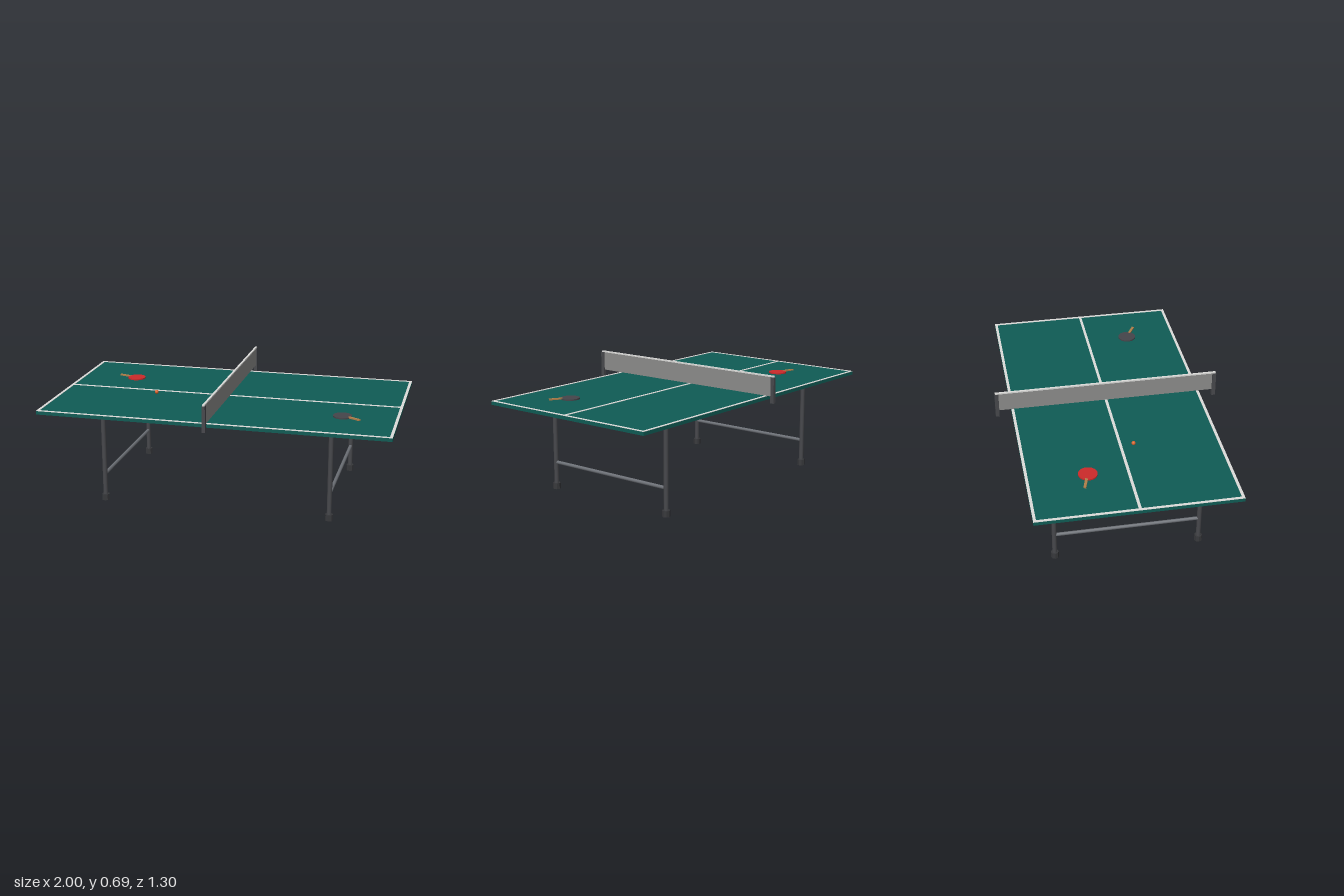
import * as THREE from 'three';

const material = (name, color) => {
  const m = new THREE.MeshStandardMaterial({ color });
  m.name = name;
  return m;
};

export function createModel() {
  const model = new THREE.Group();
  model.name = 'tableTennisTable';

  const green = material('tableGreen', 0x0f5c55);
  const white = material('lineWhite', 0xdcdcda);
  const darkSteel = material('darkSteel', 0x47484c);
  const greySteel = material('greySteel', 0x6c7076);
  const rubber = material('footRubber', 0x37383b);
  const netGrey = material('netGrey', 0x8c8c8a);
  const red = material('paddleRed', 0xcc2a2a);
  const black = material('paddleBlack', 0x45454a);
  const wood = material('handleWood', 0xb07f4a);
  const orange = material('ballOrange', 0xd9652e);

  const add = (parent, name, geometry, mat, x, y, z) => {
    const mesh = new THREE.Mesh(geometry, mat);
    mesh.name = name;
    mesh.position.set(x, y, z);
    parent.add(mesh);
    return mesh;
  };
  const box = (name, mat, w, h, d, x, y, z) =>
    add(model, name, new THREE.BoxGeometry(w, h, d), mat, x, y, z);

  // Table top with painted border and centre lines
  const topY = 0.555, halfZ = 0.555, line = 0.016;
  box('tableTop', green, 2, 0.02, halfZ * 2, 0, topY - 0.01, 0);
  for (const s of [-1, 1]) {
    box('sideLine', white, 2, 0.002, line, 0, topY + 0.001, s * (halfZ - line / 2));
    box('endLine', white, line, 0.002, 2 * (halfZ - line), s * (1 - line / 2), topY + 0.001, 0);
  }
  box('centreLine', white, 2 - 2 * line, 0.002, line, 0, topY + 0.001, 0);

  // Net, top band and end posts
  box('net', netGrey, 0.005, 0.112, 1.26, 0, 0.63, 0);
  box('netBand', white, 0.012, 0.008, 1.29, 0, 0.688, 0);
  for (const s of [-1, 1]) {
    box('netPost', darkSteel, 0.018, 0.148, 0.022, 0, 0.61, s * 0.637);
  }

  // Under-frame: long rail, end rails, legs, feet and cross bars
  box('longRail', darkSteel, 1.29, 0.018, 0.02, 0, 0.517, 0);
  for (const sx of [-1, 1]) {
    const x = sx * 0.655;
    box('endRail', darkSteel, 0.025, 0.022, 0.896, x, 0.516, 0);
    const bar = add(model, 'crossBar', new THREE.CylinderGeometry(0.01, 0.01, 0.82, 10), greySteel, x, 0.158, 0);
    bar.rotation.x = Math.PI / 2;
    for (const sz of [-1, 1]) {
      const z = sz * 0.411;
      add(model, 'leg', new THREE.CylinderGeometry(0.0135, 0.0135, 0.49, 12), darkSteel, x, 0.265, z);
      const foot = new THREE.CylinderGeometry(0.022, 0.023, 0.035, 8).toNonIndexed();
      foot.computeVertexNormals();
      add(model, 'foot', foot, rubber, x, 0.0175, z);
    }
  }

  // Paddles: round blade with a handle pointing along local +x
  const paddle = (name, mat, x, z, dx, dz) => {
    const group = new THREE.Group();
    group.name = name;
    group.position.set(x, topY + 0.002, z);
    group.rotation.y = Math.atan2(-dz, dx);
    add(group, 'blade', new THREE.CylinderGeometry(0.053, 0.053, 0.008, 20), mat, 0, 0.004, 0);
    add(group, 'handle', new THREE.BoxGeometry(0.075, 0.008, 0.015), wood, 0.083, 0.006, 0);
    model.add(group);
  };
  paddle('redPaddle', red, -0.66, -0.22, -0.11, -0.033);
  paddle('blackPaddle', black, 0.69, 0.252, 0.1, 0.058);

  // Ball
  add(model, 'ball', new THREE.SphereGeometry(0.012, 12, 8), orange, -0.44, topY + 0.013, 0.072);

  return model;
}
